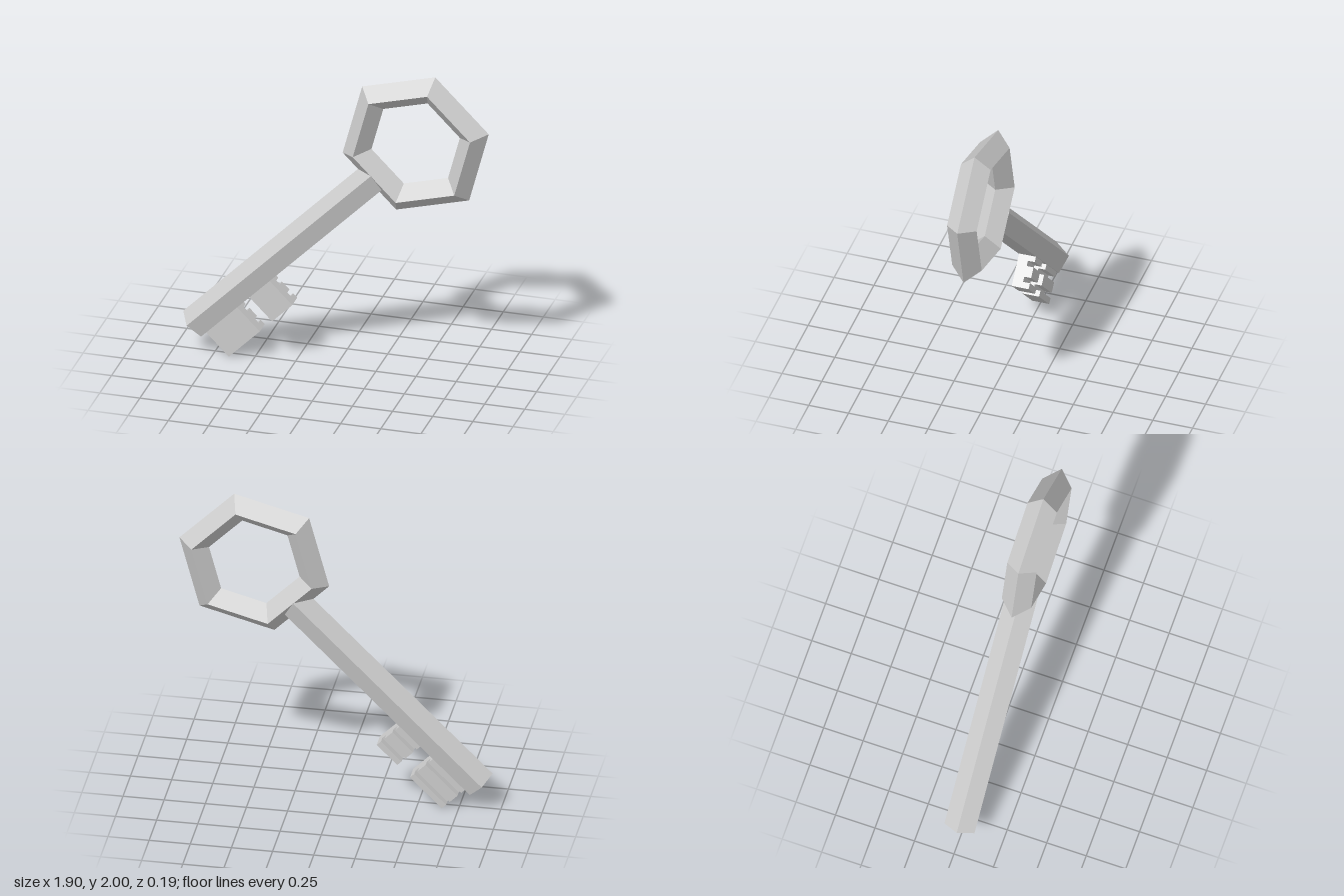
import * as THREE from 'three';

export function createModel() {
  const model = new THREE.Group();
  model.name = 'key';
  const material = new THREE.MeshStandardMaterial({ color: 0xcccccc, flatShading: true });

  // Key frame: y runs along the shaft, x points towards the teeth
  const key = new THREE.Group();
  key.name = 'keyBody';
  key.position.set(-0.879, 0.169, 0);
  key.rotation.z = -Math.PI / 4;
  model.add(key);

  const add = (name, geometry, y) => {
    const mesh = new THREE.Mesh(geometry, material);
    mesh.name = name;
    mesh.position.y = y;
    key.add(mesh);
  };

  // Five-sided shaft with one edge facing away from the teeth
  const length = 1.622;
  add('shaft', new THREE.CylinderGeometry(0.1, 0.1, length, 5, 1, false, -Math.PI / 2), length / 2);

  // Six-sided bow with a diamond cross-section
  add('bow', new THREE.TorusGeometry(0.378, 0.093, 4, 6), 1.947);

  // Tooth section: a slab with two grooves cut into its back
  const tip = 0.281, half = 0.053, floor = 0.01;
  const section = new THREE.Shape();
  section.moveTo(0, -half);
  section.lineTo(tip, -half);
  section.lineTo(tip, half);
  for (const start of [0.037, 0.135]) {
    const outer = tip - start, inner = outer - 0.032;
    section.lineTo(outer, half);
    section.lineTo(outer, floor);
    section.lineTo(inner, floor);
    section.lineTo(inner, half);
  }
  section.lineTo(0, half);
  section.closePath();

  // Two teeth of different widths along the shaft
  const tooth = (name, start, width) => {
    const geometry = new THREE.ExtrudeGeometry(section, { depth: width, bevelEnabled: false });
    geometry.rotateX(-Math.PI / 2);
    add(name, geometry, start);
  };
  tooth('wideTooth', 0.042, 0.273);
  tooth('narrowTooth', 0.424, 0.177);

  return model;
}
